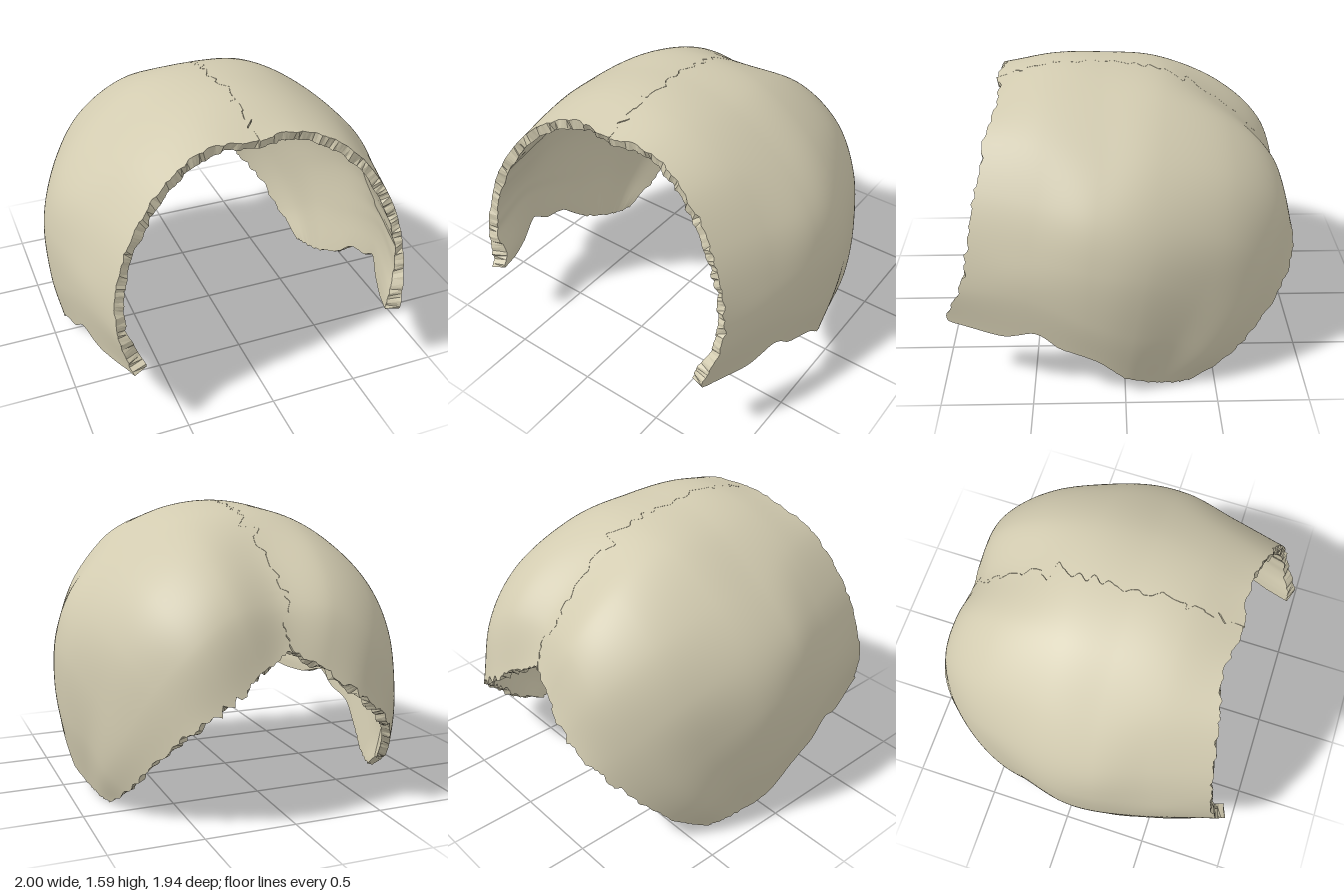
import * as THREE from 'three';

// Outer surface cross-sections of one half (front edge to back edge),
// each running from the midline down to the lower edge.
const STATIONS = [
  [[0, 1.48, .7], [.25, 1.47, .68], [.49, 1.36, .735], [.68, 1.14, .785], [.79, .9, .825], [.825, .63, .885], [.765, .38, 1.0]],
  [[0, 1.56, .4], [.3, 1.51, .4], [.58, 1.35, .42], [.79, 1.1, .45], [.89, .85, .5], [.925, .62, .52], [.9, .3, .5]],
  [[0, 1.565, .12], [.34, 1.5, .12], [.66, 1.3, .12], [.885, 1.06, .15], [.975, .8, .18], [.985, .5, .2], [.95, .25, .2]],
  [[0, 1.51, -.25], [.34, 1.47, -.22], [.65, 1.28, -.2], [.87, 1.03, -.16], [.975, .75, -.1], [.98, .4, -.04], [.93, .09, 0]],
  [[0, 1.32, -.56], [.32, 1.32, -.58], [.61, 1.14, -.58], [.79, .88, -.53], [.88, .6, -.42], [.91, .32, -.29], [.88, .015, -.15]],
  [[0, 1.1, -.78], [.27, 1.08, -.84], [.5, .92, -.85], [.68, .7, -.76], [.8, .44, -.62], [.86, .2, -.45], [.85, -.015, -.26]],
  [[0, .86, -.9], [.17, .74, -.95], [.35, .61, -.98], [.53, .48, -.93], [.68, .31, -.78], [.77, .11, -.59], [.82, -.02, -.36]],
];
const NS = 200, NT = 84;

const spline = (pts) => new THREE.CatmullRomCurve3(pts, false, 'catmullrom', 0.5);

// A mirrored lead-in point keeps the crown smooth across the midline;
// the back edge keeps its pointed notch.
const SECTIONS = STATIONS.map((rows, k) => {
  const p = rows.map((r) => new THREE.Vector3(...r));
  const lead = k === STATIONS.length - 1
    ? p[0].clone().multiplyScalar(2).sub(p[1])
    : new THREE.Vector3(-p[1].x, p[1].y, p[1].z);
  return spline([lead, ...p]);
});

// Point on the outer surface; negative t lies on the other half
function surface(s, t) {
  const p = spline(SECTIONS.map((c) => c.getPoint((1 + 6 * Math.abs(t)) / 7))).getPoint(s);
  if (t < 0) p.x = -p.x;
  return p;
}

// Smooth repeatable 1D noise in 0..1
const hash = (n) => {
  const v = Math.sin(n * 127.1 + 11.7) * 43758.5453;
  return v - Math.floor(v);
};
function noise(x) {
  const i = Math.floor(x), f = x - i, k = f * f * (3 - 2 * f);
  return hash(i) * (1 - k) + hash(i + 1) * k;
}
const rough = (x) => 0.65 * noise(x) + 0.35 * noise(x * 2.3 + 40);
const bump = (x, centre, width) => Math.exp(-(((x - centre) / width) ** 2));

// Zigzag of the midline seam in units of t, shared by both halves
function seam(s) {
  const teeth = 0.028 + 0.045 * (bump(s, 0.56, 0.05) + bump(s, 0.78, 0.06));
  return -0.008 + teeth * (noise(s * 54) - 0.5) + 0.015 * (noise(s * 12 + 7) - 0.5);
}

// One point of a bone: side is +1 (left) or -1 (right)
function bonePoint(s0, t0, side, inner) {
  const seed = (side > 0 ? 100 : 300) + (inner ? 5.35 : 0);
  // Jagged borders cut inwards along the surface
  const front = 0.018 * rough(t0 * 42 + seed) * (1 - s0) ** 14;
  const back = 0.03 * rough(t0 * 38 + seed + 60) * s0 ** 14;
  const low = (0.006 + 0.02 * s0 ** 4) * rough(s0 * 30 + seed + 130) + 0.045 * bump(s0, 0.18, 0.05);
  // The seam slides points along the surface, so the crown stays smooth
  const nearSeam = Math.exp(-t0 * 16);
  const loops = 0.016 * (noise(s0 * 54 + 20) - 0.5) * nearSeam;
  const s = THREE.MathUtils.clamp(s0 + front - back + loops, 0, 1);
  const t = t0 - low * t0 ** 14 + side * seam(s0) * nearSeam;
  const p = surface(s, t);
  if (inner) {
    const e = 0.015;
    const dt = surface(s, Math.min(1, t + e)).sub(surface(s, t - e));
    const ds = surface(Math.min(1, s + e), t).sub(surface(Math.max(0, s - e), t));
    const n = dt.cross(ds);
    n.x *= Math.min(1, Math.abs(t) * 6);
    n.normalize();
    // Thins towards the lower edge, thickened at the front lower corner
    const thick = 0.053 - 0.022 * t0 ** 6
      + 0.05 * bump(s0, 0, 0.11) * bump(t0, 1, 0.13)
      + 0.016 * (noise(t0 * 23 + seed) - 0.5) * (1 - s0) ** 6;
    p.addScaledVector(n, -thick);
  }
  // The right front corner is a little shorter
  if (side < 0) p.z -= 0.05 * bump(s0, 0, 0.1) * bump(t0, 1, 0.12);
  p.x = side * (p.x + 0.001);
  return p;
}

function geometryFrom(points, index) {
  const g = new THREE.BufferGeometry().setFromPoints(points);
  g.setIndex(index);
  return g;
}

function buildBone(side, material) {
  const outer = [], inner = [];
  for (let i = 0; i <= NS; i++) {
    for (let j = 0; j <= NT; j++) {
      outer.push(bonePoint(i / NS, j / NT, side, false));
      inner.push(bonePoint(i / NS, j / NT, side, true));
    }
  }
  const id = (i, j) => i * (NT + 1) + j;
  const tri = (list, a, b, c, flip) => (flip ? list.push(a, c, b) : list.push(a, b, c));
  const mirrored = side < 0;

  // Outer and inner sheets
  const outIdx = [], inIdx = [];
  for (let i = 0; i < NS; i++) {
    for (let j = 0; j < NT; j++) {
      const a = id(i, j), b = id(i, j + 1), c = id(i + 1, j), d = id(i + 1, j + 1);
      for (const [list, flip] of [[outIdx, mirrored], [inIdx, !mirrored]]) {
        tri(list, a, b, c, flip);
        tri(list, b, d, c, flip);
      }
    }
  }

  // Broken rim joining the two sheets all the way round
  const loop = [];
  for (let j = 0; j < NT; j++) loop.push(id(0, j));
  for (let i = 0; i < NS; i++) loop.push(id(i, NT));
  for (let j = NT; j > 0; j--) loop.push(id(NS, j));
  for (let i = NS; i > 0; i--) loop.push(id(i, 0));
  const rimPts = [], rimIdx = [];
  loop.forEach((v) => rimPts.push(outer[v], inner[v]));
  for (let k = 0; k < loop.length; k++) {
    const p = 2 * k, q = 2 * ((k + 1) % loop.length);
    tri(rimIdx, p, p + 1, q + 1, mirrored);
    tri(rimIdx, p, q + 1, q, mirrored);
  }

  const bone = new THREE.Group();
  bone.name = side > 0 ? 'leftSkullBone' : 'rightSkullBone';
  const parts = [
    ['outerSurface', geometryFrom(outer, outIdx)],
    ['innerSurface', geometryFrom(inner, inIdx)],
    ['jaggedRim', geometryFrom(rimPts, rimIdx).toNonIndexed()],
  ];
  for (const [name, geometry] of parts) {
    geometry.computeVertexNormals();
    const mesh = new THREE.Mesh(geometry, material);
    mesh.name = name;
    bone.add(mesh);
  }
  return bone;
}

export function createModel() {
  const model = new THREE.Group();
  model.name = 'skullRoof';
  const material = new THREE.MeshStandardMaterial({ color: 0xd2cbb0 });
  for (const side of [1, -1]) model.add(buildBone(side, material));
  return model;
}
